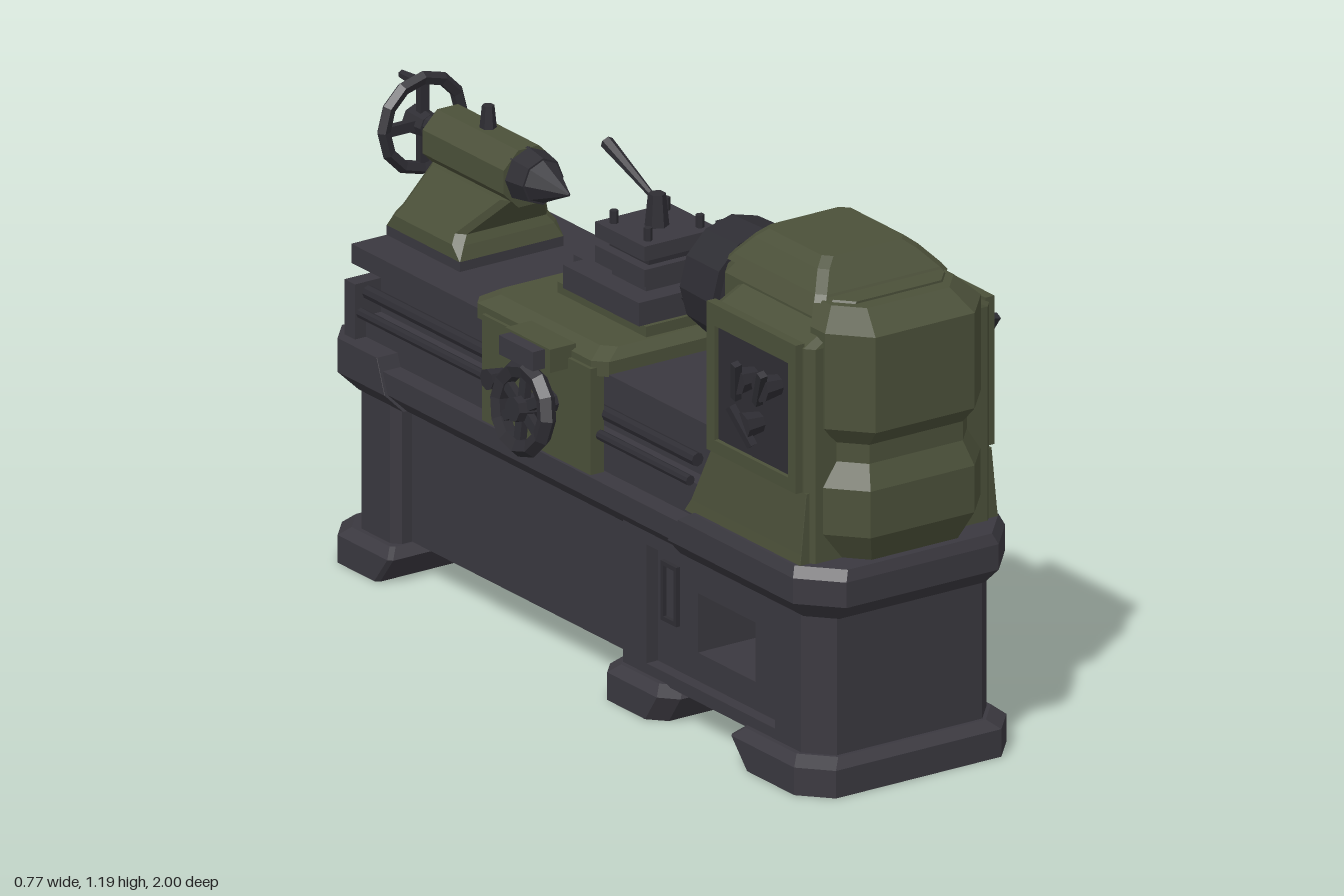
import * as THREE from 'three';

const mat = (name, color) => {
  const m = new THREE.MeshStandardMaterial({ color });
  m.name = name;
  return m;
};

export function createModel() {
  const green = mat('olive green paint', 0x4b5039);
  const dark = mat('dark iron', 0x3a383f);
  const steel = mat('dark steel', 0x2e2d33);
  const red = mat('red knob', 0x8a3a20);
  const root = new THREE.Group();
  const lathe = new THREE.Group();
  lathe.name = 'lathe';
  lathe.position.x = -0.01;
  root.add(lathe);

  const add = (name, geo, m, parent = lathe) => {
    const g = geo.index ? geo.toNonIndexed() : geo;
    g.computeVertexNormals();
    const mesh = new THREE.Mesh(g, m);
    mesh.name = name;
    parent.add(mesh);
    return mesh;
  };
  // Box given by its limits
  const box = (name, m, x0, x1, y0, y1, z0, z1, parent) =>
    add(name, new THREE.BoxGeometry(x1 - x0, y1 - y0, z1 - z0)
      .translate((x0 + x1) / 2, (y0 + y1) / 2, (z0 + z1) / 2), m, parent);
  // Cylinder along z or x
  const rod = (name, m, axis, r0, r1, len, x, y, z, sides = 8, parent = lathe) => {
    const g = new THREE.CylinderGeometry(r1, r0, len, sides);
    if (axis === 'z') g.rotateX(Math.PI / 2);
    if (axis === 'x') g.rotateZ(-Math.PI / 2);
    return add(name, g.translate(x, y, z), m, parent);
  };
  // Stack of chamfered rectangles: [y, halfWidth, zBack, zFront, backChamfer, frontChamfer]
  const loft = (name, m, rings) => {
    const loops = rings.map(([y, w, b, f, cb = 0.001, cf = cb]) => [
      [w - cf * 0.9, y, f], [w, y, f - cf], [w, y, b + cb], [w - cb * 0.9, y, b],
      [-w + cb * 0.9, y, b], [-w, y, b + cb], [-w, y, f - cf], [-w + cf * 0.9, y, f]]);
    const p = [];
    const tri = (a, b, c) => p.push(...a, ...b, ...c);
    for (let k = 0; k + 1 < loops.length; k++) {
      for (let i = 0; i < 8; i++) {
        const j = (i + 1) % 8, a = loops[k], b = loops[k + 1];
        tri(a[i], a[j], b[j]);
        tri(a[i], b[j], b[i]);
      }
    }
    const top = loops[loops.length - 1], bot = loops[0];
    for (let i = 1; i < 7; i++) {
      tri(top[0], top[i], top[i + 1]);
      tri(bot[0], bot[i + 1], bot[i]);
    }
    const g = new THREE.BufferGeometry();
    g.setAttribute('position', new THREE.Float32BufferAttribute(p, 3));
    return add(name, g, m);
  };
  // Upright frame in the z-y plane with a rectangular hole
  const frame = (name, m, x, t, [z0, z1, y0, y1], [a0, a1, b0, b1]) => {
    const rect = (P, l, r, d, u) => {
      const s = new P();
      s.moveTo(l, d); s.lineTo(r, d); s.lineTo(r, u); s.lineTo(l, u); s.closePath();
      return s;
    };
    const s = rect(THREE.Shape, z0, z1, y0, y1);
    s.holes.push(rect(THREE.Path, a0, a1, b0, b1));
    const g = new THREE.ExtrudeGeometry(s, { depth: t, bevelEnabled: false });
    return add(name, g.translate(0, 0, -t / 2).rotateY(-Math.PI / 2).translate(x, 0, 0), m);
  };
  // Spoked wheel facing +z, turned by its group
  const wheel = (name, r, tube, spokes) => {
    const g = new THREE.Group();
    g.name = name;
    add('rim', new THREE.TorusGeometry(r, tube, 5, 12), steel, g);
    rod('hub', steel, 'z', 0.035, 0.028, 0.06, 0, 0, 0, 8, g);
    for (let i = 0; i < spokes; i++) {
      const s = box('spoke', steel, -0.012, 0.012, 0, r, -0.009, 0.009, g);
      s.rotation.z = i * Math.PI * 2 / spokes;
    }
    lathe.add(g);
    return g;
  };

  // Feet, undercut on the inner sides
  const feet = [[0.715, 0.655, 0.975, 0.975, 0.01, 0.07], [0.15, 0.15, 0.375, 0.42, 0.04, 0.04],
    [-0.9, -0.9, -0.69, -0.64, 0.06, 0.01]];
  for (const [b0, b1, f0, f1, cb, cf] of feet)
    loft('foot', dark, [[0, 0.286, b0, f0, cb, cf], [0.065, 0.286, b1, f1, cb, cf],
      [0.085, 0.262, b1 + 0.02, f1 - 0.025, cb, cf]]);

  // Pedestals, with an open cupboard between the front posts
  loft('frontPedestal', dark, [[0.08, 0.25, 0.79, 0.94, 0.001, 0.06], [0.43, 0.25, 0.79, 0.94, 0.001, 0.06]]);
  loft('rearPedestal', dark, [[0.08, 0.25, -0.86, -0.67, 0.06, 0.02], [0.43, 0.25, -0.86, -0.67, 0.06, 0.02]]);
  box('middlePost', dark, -0.21, 0.21, 0.08, 0.43, 0.2, 0.28);
  box('cupboardFloor', dark, -0.22, 0.22, 0.08, 0.1, 0.2, 0.8);
  box('middlePanel', dark, -0.205, 0.205, 0.085, 0.43, -0.68, 0.21);
  for (const s of [-1, 1]) {
    frame('cupboardFrame', dark, s * 0.235, 0.03, [0.2, 0.8, 0.08, 0.43], [0.29, 0.78, 0.11, 0.39]);
    frame('cupboardPanel', dark, s * 0.2, 0.02, [0.27, 0.8, 0.09, 0.41], [0.43, 0.65, 0.17, 0.31]);
    frame('cupboardLatch', steel, s * 0.215, 0.01, [0.3, 0.36, 0.21, 0.35], [0.31, 0.35, 0.22, 0.34]);
  }

  // Chip tray with raised ends
  loft('trayFront', dark, [[0.41, 0.25, 0.42, 0.95, 0.001, 0.06], [0.45, 0.286, 0.42, 0.99, 0.001, 0.09],
    [0.51, 0.286, 0.46, 0.99, 0.001, 0.09], [0.535, 0.275, 0.5, 0.98, 0.001, 0.09]]);
  loft('trayMiddle', dark, [[0.41, 0.24, -0.72, 0.5], [0.45, 0.278, -0.72, 0.5], [0.5, 0.278, -0.72, 0.5]]);
  loft('trayRear', dark, [[0.41, 0.25, -0.87, -0.64, 0.06, 0.001], [0.45, 0.286, -0.9, -0.66, 0.06, 0.001],
    [0.53, 0.286, -0.9, -0.69, 0.06, 0.001]]);

  // Bed with slideways and feed screws
  box('bedBase', dark, -0.23, 0.23, 0.49, 0.58, -0.84, 0.56);
  box('bedWeb', dark, -0.19, 0.19, 0.58, 0.68, -0.84, 0.56);
  loft('bedTop', dark, [[0.66, 0.19, -0.86, 0.56], [0.69, 0.235, -0.86, 0.56], [0.735, 0.235, -0.86, 0.56]]);
  for (const s of [-1, 1]) {
    rod('feedScrew', steel, 'z', 0.016, 0.016, 1.3, s * 0.225, 0.635, -0.2);
    rod('feedRod', steel, 'z', 0.012, 0.012, 1.3, s * 0.245, 0.59, -0.2);
    box('screwBracket', dark, s * 0.225 - 0.035, s * 0.225 + 0.035, 0.53, 0.66, -0.85, -0.81);
  }

  // Headstock
  loft('headstockSkirt', green, [[0.53, 0.268, 0.46, 0.9], [0.56, 0.264, 0.48, 0.9], [0.7, 0.25, 0.54, 0.9]]);
  loft('headstockBody', green, [[0.53, 0.25, 0.54, 0.91, 0.02], [1.04, 0.25, 0.54, 0.91, 0.02],
    [1.075, 0.18, 0.54, 0.9, 0.02]]);
  loft('spindleHousing', green, [[0.79, 0.15, 0.49, 0.6, 0.03], [0.82, 0.18, 0.45, 0.9, 0.04],
    [1.08, 0.18, 0.45, 0.9, 0.04], [1.125, 0.15, 0.48, 0.9, 0.04]]);
  loft('endCover', green, [[0.535, 0.17, 0.85, 0.96, 0.01, 0.06], [0.6, 0.212, 0.85, 0.99, 0.01, 0.08],
    [0.71, 0.212, 0.85, 0.99, 0.01, 0.08], [0.765, 0.18, 0.85, 0.965, 0.01, 0.06],
    [0.81, 0.18, 0.85, 0.965, 0.01, 0.06], [0.85, 0.21, 0.85, 1, 0.01, 0.085],
    [1.075, 0.21, 0.85, 1, 0.01, 0.085], [1.12, 0.165, 0.8, 0.935, 0.01, 0.06]]);
  loft('headstockLid', green, [[1.115, 0.18, 0.48, 0.85, 0.02], [1.13, 0.17, 0.49, 0.84, 0.02],
    [1.17, 0.135, 0.52, 0.8, 0.02], [1.19, 0.11, 0.54, 0.78, 0.02]]);
  for (const s of [-1, 1]) {
    frame('controlFrame', green, s * 0.256, 0.024, [0.545, 0.885, 0.7, 1.05], [0.575, 0.855, 0.73, 1.0]);
    box('controlPanel', steel, s * 0.253 - 0.004, s * 0.253 + 0.004, 0.73, 1.0, 0.575, 0.855);
    for (const [z, y, tilt] of [[0.8, 0.93, 0.5], [0.73, 0.82, -0.6], [0.71, 0.92, 0.3]]) {
      rod('leverBoss', steel, 'x', 0.032, 0.024, 0.05, s * 0.28, y, z);
      const lever = box('lever', steel, -0.009, 0.009, -0.05, 0.05, -0.009, 0.009);
      lever.position.set(s * 0.305, y, z);
      lever.rotation.set(tilt, 0, -s * 0.2);
    }
    if (s > 0) rod('stopKnob', red, 'x', 0.025, 0.023, 0.05, 0.28, 0.82, 0.635);
  }

  // Chuck with three jaws
  rod('spindleNose', steel, 'z', 0.09, 0.09, 0.06, 0, 0.96, 0.44, 10);
  rod('chuckBack', steel, 'z', 0.125, 0.145, 0.04, 0, 0.965, 0.41, 12);
  rod('chuck', steel, 'z', 0.14, 0.145, 0.13, 0, 0.965, 0.325, 12);
  for (let i = 0; i < 3; i++) {
    const jaw = box('chuckJaw', steel, -0.022, 0.022, 0.035, 0.12, -0.02, 0.02);
    jaw.position.set(0, 0.965, 0.25);
    jaw.rotation.z = i * Math.PI * 2 / 3;
  }

  // Carriage with aprons and handwheels on both sides
  loft('saddle', green, [[0.73, 0.262, -0.37, 0.125, 0.03], [0.765, 0.262, -0.37, 0.125, 0.03],
    [0.785, 0.22, -0.34, 0.1, 0.03]]);
  for (const s of [-1, 1]) {
    const x = s * 0.253;
    box('apron', green, x - 0.018, x + 0.018, 0.5, 0.75, -0.31, 0.105);
    box('handleBracket', green, s * 0.285 - 0.035, s * 0.285 + 0.035, 0.725, 0.78, -0.15, 0.02);
    box('bracketEnd', dark, s * 0.335 - 0.017, s * 0.335 + 0.017, 0.73, 0.775, -0.13, 0);
    rod('wheelShaft', steel, 'x', 0.025, 0.025, 0.12, s * 0.3, 0.63, -0.04);
    const w = wheel('apronWheel', 0.09, 0.022, 6);
    w.position.set(s * 0.35, 0.63, -0.04);
    w.rotation.set(0, s * Math.PI / 2, s * 0.12, 'ZYX');
    rod('apronKnob', steel, 'x', 0.025, 0.018, 0.05, s * 0.29, 0.63, -0.23);
  }
  const feedLever = box('feedLever', steel, -0.01, 0.01, -0.05, 0.05, -0.01, 0.01);
  feedLever.position.set(0.34, 0.74, -0.22);
  feedLever.rotation.set(-0.9, 0, 0.5);

  // Cross slide and tool post
  box('slideBase', green, -0.11, 0.11, 0.77, 0.81, -0.25, 0.09);
  box('crossSlide', dark, -0.13, 0.13, 0.815, 0.87, -0.2, 0.09);
  box('slideScrewMount', dark, -0.045, 0.045, 0.785, 0.85, -0.28, -0.19);
  box('toolPostNeck', dark, -0.075, 0.075, 0.86, 0.91, -0.09, 0.04);
  box('toolPostLower', dark, -0.1, 0.1, 0.895, 0.935, -0.12, 0.07);
  box('toolPostCore', steel, -0.075, 0.075, 0.93, 0.96, -0.1, 0.05);
  box('toolPostUpper', dark, -0.1, 0.1, 0.955, 0.99, -0.12, 0.07);
  add('toolPostBolt', new THREE.CylinderGeometry(0.02, 0.028, 0.08, 6).translate(0, 1.025, -0.025), steel);
  for (const sx of [-1, 1]) for (const z of [-0.09, 0.04])
    add('clampScrew', new THREE.CylinderGeometry(0.01, 0.01, 0.04, 6).translate(sx * 0.07, 1.0, z), steel);
  const handle = rod('toolPostLever', steel, 'z', 0.006, 0.016, 0.21, 0, 0, 0, 6);
  handle.position.set(0, 1.085, -0.12);
  handle.rotation.set(-2.75, 0, 0);

  // Tailstock
  box('tailstockFoot', dark, -0.14, 0.14, 0.73, 0.758, -0.86, -0.58);
  loft('tailstockNeck', green, [[0.758, 0.14, -0.86, -0.58], [0.79, 0.14, -0.85, -0.59, 0.02],
    [0.81, 0.125, -0.84, -0.6, 0.02], [0.9, 0.06, -0.82, -0.52, 0.02]]);
  rod('tailstockBarrel', green, 'z', 0.073, 0.073, 0.31, 0, 0.95, -0.67, 8)
    .geometry.translate(0, -0.95, 0).rotateZ(Math.PI / 8).translate(0, 0.95, 0);
  rod('barrelCollar', steel, 'z', 0.065, 0.055, 0.06, 0, 0.955, -0.49, 8);
  rod('centrePoint', steel, 'z', 0.055, 0.003, 0.11, 0, 0.955, -0.415, 8);
  add('quillClamp', new THREE.CylinderGeometry(0.014, 0.02, 0.06, 6).translate(0, 1.04, -0.67), steel);
  rod('tailstockShaft', steel, 'z', 0.022, 0.022, 0.13, 0, 0.955, -0.87, 8);
  wheel('tailstockWheel', 0.106, 0.016, 4).position.set(0, 0.95, -0.92);
  rod('tailstockCrank', steel, 'z', 0.01, 0.017, 0.08, 0, 1.04, -0.96, 6);

  return root;
}
